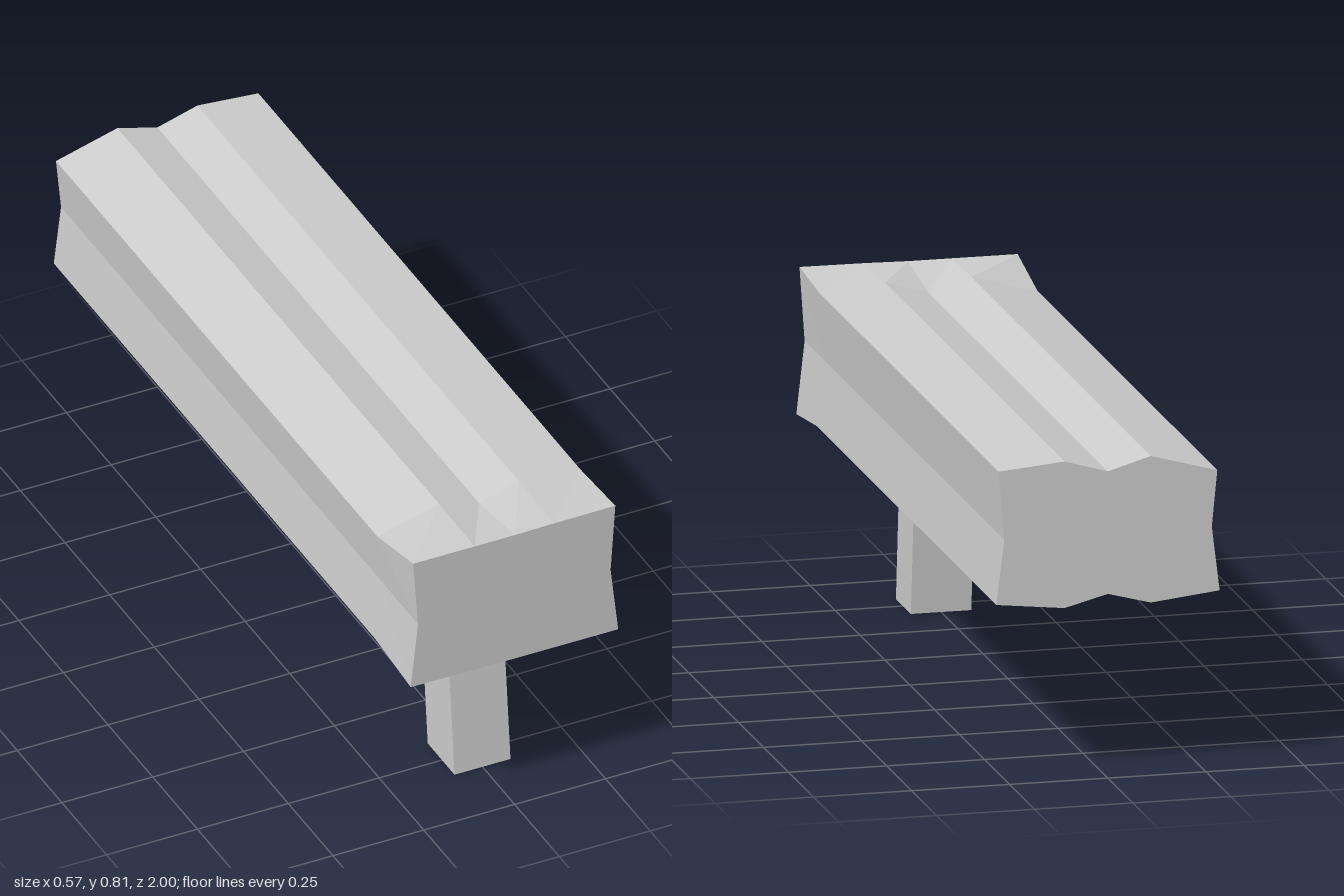
import * as THREE from 'three';

// Solid skinned through matching rings of [x, y, z] points, capped at both ends.
// Rings run counter-clockwise when seen from the last ring; flatten gives the cap plane.
function loft(name, rings, flatten, material) {
  const pos = [];
  const tri = (a, b, c) => pos.push(...a, ...b, ...c);
  for (let i = 0; i < rings.length - 1; i++) {
    const r0 = rings[i], r1 = rings[i + 1], n = r0.length;
    for (let j = 0; j < n; j++) {
      const k = (j + 1) % n;
      tri(r0[j], r0[k], r1[k]);
      tri(r0[j], r1[k], r1[j]);
    }
  }
  const cap = (ring, flip) => {
    const flat = ring.map((p) => new THREE.Vector2(...flatten(p)));
    for (const [a, b, c] of THREE.ShapeUtils.triangulateShape(flat, [])) {
      if (flip) tri(ring[a], ring[c], ring[b]);
      else tri(ring[a], ring[b], ring[c]);
    }
  };
  cap(rings[0], true);
  cap(rings[rings.length - 1], false);

  const geometry = new THREE.BufferGeometry();
  geometry.setAttribute('position', new THREE.Float32BufferAttribute(pos, 3));
  geometry.computeVertexNormals();
  const mesh = new THREE.Mesh(geometry, material);
  mesh.name = name;
  return mesh;
}

export function createModel() {
  const model = new THREE.Group();
  model.name = 'model';
  const grey = new THREE.MeshStandardMaterial({ color: 0xcccccc, flatShading: true });
  grey.name = 'light grey';

  const alongZ = ([x, y]) => [x, y];
  const alongY = ([x, , z]) => [x, -z];
  const atZ = (profile, z) => profile.map(([x, y]) => [x, y, z]);

  // Long body: grooved section that flares to a plain front face
  const bodyProfile = [
    [0.278, 0.8], [0.11, 0.815], [0, 0.783], [-0.11, 0.815], [-0.279, 0.768],
    [-0.265, 0.625],
    [-0.285, 0.461], [-0.11, 0.441], [0, 0.47], [0.11, 0.441], [0.284, 0.46],
    [0.264, 0.625],
  ];
  const frontProfile = [
    [0.277, 0.815], [0.11, 0.814], [0, 0.812], [-0.11, 0.812], [-0.279, 0.812],
    [-0.266, 0.625],
    [-0.286, 0.442], [-0.11, 0.44], [0, 0.44], [0.11, 0.44], [0.285, 0.44],
    [0.264, 0.625],
  ];
  model.add(loft('body', [
    atZ(bodyProfile, -1), atZ(bodyProfile, 0.8), atZ(frontProfile, 1),
  ], alongZ, grey));

  // Front leg: slanted post with a wedge that widens backwards under the body
  const legRing = (w, y, yMid, back, front) => [
    [w, y, front], [w, y, back], [0, yMid, back],
    [-w, y, back], [-w, y, front], [0, yMid, front],
  ];
  model.add(loft('frontLeg', [
    legRing(0.077, 0, 0, 0.67, 0.82),
    legRing(0.077, 0.295, 0.295, 0.64, 0.79),
    legRing(0.11, 0.441, 0.47, 0.26, 0.79),
  ], alongY, grey));

  // Keeled block under the rear half, fitted into the groove
  const blockProfile = [
    [0.11, 0.441], [0, 0.47], [-0.11, 0.441],
    [-0.11, 0.357], [0, 0.33], [0.11, 0.357],
  ];
  model.add(loft('rearBlock', [
    atZ(blockProfile, -0.56), atZ(blockProfile, -0.12),
  ], alongZ, grey));

  return model;
}
